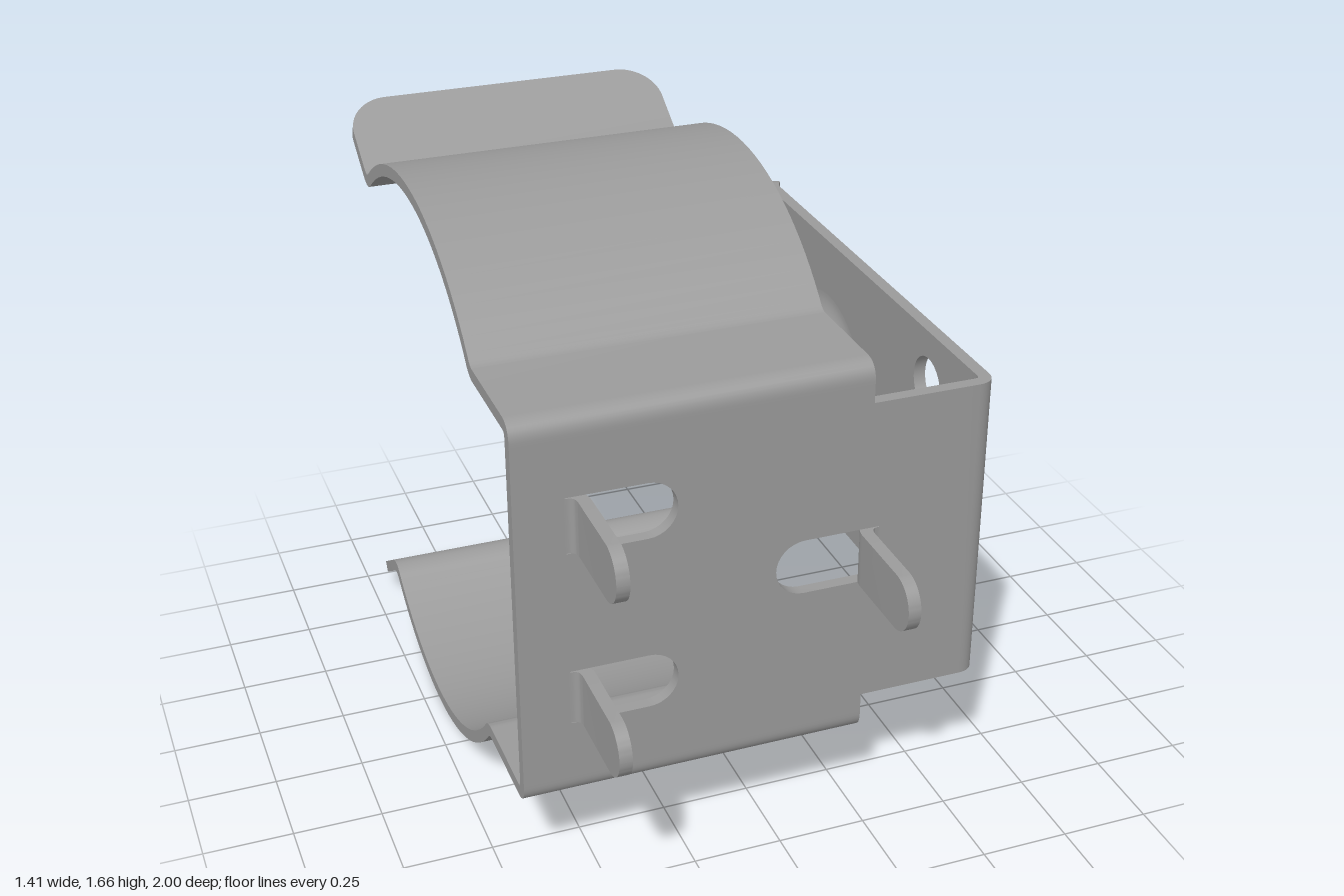
import * as THREE from 'three';
import { toCreasedNormals } from 'three/addons/utils/BufferGeometryUtils.js';

const T = 0.035;      // sheet thickness
const MID = 0.8325;   // height of the mirror plane
const FRONT = 0.6725; // centre line of the front plate
const SIDE = 0.5875;  // centre line of the side panel
const V = (x, y) => new THREE.Vector2(x, y);
const material = new THREE.MeshStandardMaterial({ color: 0x9a9a9a });

// Rounds the corners of a centre line given as [x, y, radius] points
function fillet(points) {
  const out = [];
  points.forEach(([x, y, r = 0], i) => {
    const p = V(x, y);
    if (!r) return out.push(p);
    const a = V(points[i - 1][0], points[i - 1][1]).sub(p).normalize();
    const b = V(points[i + 1][0], points[i + 1][1]).sub(p).normalize();
    const turn = Math.PI - Math.acos(THREE.MathUtils.clamp(a.dot(b), -1, 1));
    const d = r * Math.tan(turn / 2);
    const curve = new THREE.QuadraticBezierCurve(p.clone().addScaledVector(a, d), p, p.clone().addScaledVector(b, d));
    out.push(...curve.getPoints(8));
  });
  return out;
}

// Bent strip of sheet: centre line, width range lo..hi, and an end rounded
// by quarter ellipses of the given inset and depth
function strip(points, lo, hi, basis, inset = 0, depth = 0) {
  const line = fillet(points);
  const insets = line.map(() => 0);
  if (inset) {
    const end = line.pop();
    insets.pop();
    const back = line[line.length - 1].clone().sub(end).normalize();
    const N = 16;
    for (let k = 0; k <= N; k++) {
      const t = (k / N) * Math.PI / 2;
      line.push(end.clone().addScaledVector(back, depth * (1 - Math.sin(t))));
      insets.push(inset * 0.999 * (1 - Math.cos(t)));
    }
  }
  const sections = line.map((p, i) => {
    const d1 = p.clone().sub(line[Math.max(i - 1, 0)]).normalize();
    const d2 = line[Math.min(i + 1, line.length - 1)].clone().sub(p).normalize();
    const t = d1.clone().add(d2).normalize();
    const h = T / 2 / Math.max(t.dot(d1), t.dot(d2));
    const n = V(-t.y, t.x).multiplyScalar(h);
    const a = lo + insets[i], b = hi - insets[i];
    return [[1, a], [1, b], [-1, b], [-1, a]].map(([s, z]) => [p.x + s * n.x, p.y + s * n.y, z]);
  });
  const pos = [];
  const quad = (a, b, c, d) => pos.push(...a, ...b, ...c, ...a, ...c, ...d);
  for (let i = 0; i < sections.length - 1; i++) {
    const A = sections[i], B = sections[i + 1];
    for (let j = 0; j < 4; j++) quad(A[j], A[(j + 1) % 4], B[(j + 1) % 4], B[j]);
  }
  const first = sections[0], last = sections[sections.length - 1];
  quad(first[3], first[2], first[1], first[0]);
  quad(...last);
  const g = new THREE.BufferGeometry();
  g.setAttribute('position', new THREE.Float32BufferAttribute(pos, 3));
  g.applyMatrix4(basis);
  return toCreasedNormals(g, 0.6);
}

const X = new THREE.Vector3(1, 0, 0), Y = new THREE.Vector3(0, 1, 0), Z = new THREE.Vector3(0, 0, 1);
const sideways = new THREE.Matrix4().makeBasis(Z, Y, X.clone().negate()); // line in z-y, width along -x
const upright = new THREE.Matrix4().makeBasis(X, Z, Y.clone().negate());  // line in x-z, width along -y

function circleHole(x, y, r) {
  return new THREE.Path().absarc(x, y, r, 0, Math.PI * 2, true);
}

// Slot with a square end at x0 and a round end reaching x1
function slotHole(x0, x1, y, r) {
  const s = Math.sign(x1 - x0), c = x1 - s * r;
  const pts = [V(x0, y - r)];
  for (let i = 0; i <= 16; i++) {
    const a = -Math.PI / 2 + (Math.PI * i) / 16;
    pts.push(V(c + s * r * Math.cos(a), y + r * Math.sin(a)));
  }
  pts.push(V(x0, y + r));
  return new THREE.Path(pts);
}

function plate(shape) {
  const g = new THREE.ExtrudeGeometry(shape, { depth: T, bevelEnabled: false, curveSegments: 24 });
  return toCreasedNormals(g, 0.6);
}

export function createModel() {
  const group = new THREE.Group();
  const add = (name, geometry) => {
    const mesh = new THREE.Mesh(geometry, material);
    mesh.name = name;
    group.add(mesh);
    return mesh;
  };
  const panelLo = 0.388, panelHi = 1.282;

  // Slots and their bent-out tabs: [bend start, tab centre, round end, height]
  const slots = [
    [-0.57, -0.527, -0.275, 1.09],
    [-0.57, -0.527, -0.275, 0.58],
    [0.285, 0.2425, -0.005, 0.835],
  ];

  // Front plate with slots, wider where it meets the side panel
  const front = new THREE.Shape([
    V(-0.705, 0.335), V(0.255, 0.335), V(0.255, panelLo), V(0.5, panelLo),
    V(0.5, panelHi), V(0.255, panelHi), V(0.255, 1.33), V(-0.705, 1.33),
  ]);
  slots.forEach(([x0, , x1, y]) => front.holes.push(slotHole(x0, x1, y, 0.08)));
  add('frontPlate', plate(front)).position.z = FRONT - T / 2;

  slots.forEach(([x0, x, , y]) => add('mountingTab',
    strip([[x0 - Math.sign(x - x0) * 0.005, FRONT], [x, FRONT, 0.045], [x, 1]],
      -y - 0.078, -y + 0.078, upright, 0.078, 0.078)));

  // Upper and lower spring arms, mirrored
  const R = 0.8, arc = [];
  for (let i = 0; i <= 28; i++) {
    const a = 0.846 - (1.505 * i) / 28;
    arc.push([-0.25 + R * Math.sin(a), 0.8475 + R * Math.cos(a), i === 0 || i === 28 ? 0.06 : 0]);
  }
  const arm = [[FRONT, 1.33], [FRONT, 1.3775, 0.035], ...arc, [-0.99, 1.635]];
  add('upperArm', strip(arm, -0.255, 0.705, sideways, 0.12, 0.12));
  add('lowerArm', strip(arm.map(([z, y, r]) => [z, 2 * MID - y, r]), -0.255, 0.705, sideways, 0.12, 0.12));

  // Side panel: corner bend, flat part, flared round end
  add('sideCorner', strip([[0.5, FRONT], [SIDE, FRONT, 0.035], [SIDE, 0.6]], -panelHi, -panelLo, upright));
  const dimpleR = 0.28, dimpleZ = -0.295;
  const panel = new THREE.Shape([V(-0.6, panelLo), V(0.72, panelLo), V(0.72, panelHi), V(-0.6, panelHi)]);
  panel.holes.push(circleHole(-0.365, 1.125, 0.08), circleHole(-dimpleZ, MID, dimpleR));
  add('sidePanel', plate(panel).rotateY(Math.PI / 2)).position.x = SIDE - T / 2;
  add('sideFlare', strip([[SIDE, -0.72], [SIDE, -0.775, 0.06], [0.685, -0.985]],
    -panelHi, -panelLo, upright, (panelHi - panelLo) / 2, 0.205));

  // Bell-shaped dimple pressed inward, of even thickness
  const outer = [], inner = [];
  for (let i = 0; i <= 24; i++) {
    const a = (Math.PI * i) / 24;
    const p = V((dimpleR * i) / 24, 0.08 * (1 + Math.cos(a)));
    const n = V(0.08 * Math.sin(a) * Math.PI / dimpleR, 1).setLength(T / 2);
    outer.push(p.clone().sub(n));
    inner.unshift(p.clone().add(n));
  }
  outer[0].x = inner[24].x = 0;
  const dimple = toCreasedNormals(new THREE.LatheGeometry([...outer, ...inner], 48), 0.8);
  add('dimple', dimple.rotateZ(Math.PI / 2)).position.set(SIDE, MID, dimpleZ);

  return group;
}
